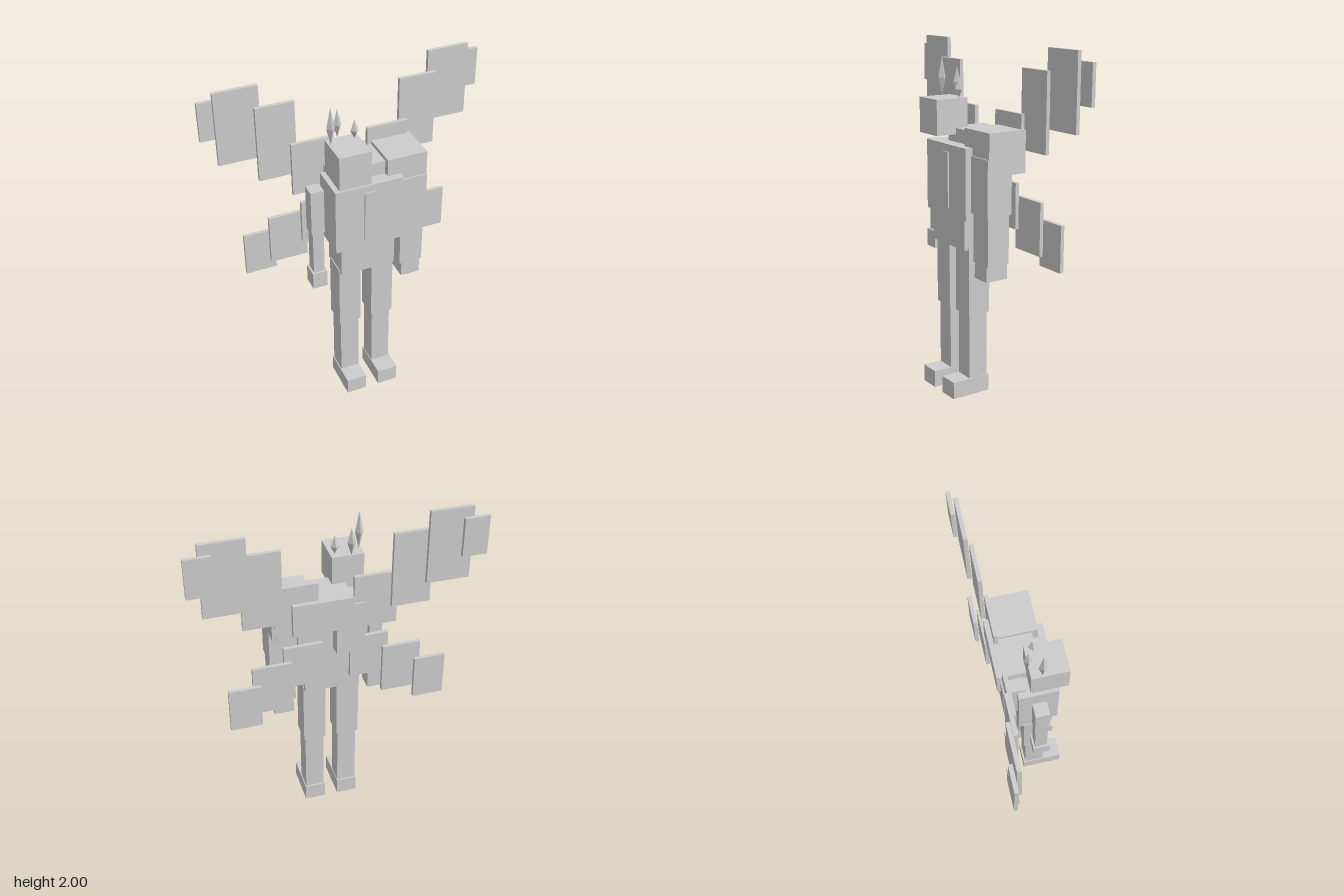
import * as THREE from 'three';

const grey = new THREE.MeshStandardMaterial({ name: 'light grey', color: 0xcccccc, flatShading: true });

// Box given by its limits on each axis
function block(parent, name, [x0, x1], [y0, y1], [z0, z1]) {
  const mesh = new THREE.Mesh(new THREE.BoxGeometry(x1 - x0, y1 - y0, z1 - z0), grey);
  mesh.position.set((x0 + x1) / 2, (y0 + y1) / 2, (z0 + z1) / 2);
  mesh.name = name;
  parent.add(mesh);
}

// The same box on the left and right side
function pair(parent, name, [x0, x1], y, z) {
  block(parent, name + 'Left', [x0, x1], y, z);
  block(parent, name + 'Right', [-x1, -x0], y, z);
}

// Four-sided crystal spike
function spike(parent, name, x, z, base, mid, tip) {
  const profile = [[0, base], [0.024, mid], [0, tip]].map(([r, y]) => new THREE.Vector2(r, y));
  const mesh = new THREE.Mesh(new THREE.LatheGeometry(profile, 4), grey);
  mesh.position.set(x, 0, z);
  mesh.name = name;
  parent.add(mesh);
}

export function createModel() {
  const model = new THREE.Group();
  model.name = 'wingedFigure';

  // Legs
  pair(model, 'foot', [0.04, 0.163], [0, 0.1], [-0.024, 0.217]);
  pair(model, 'shin', [0.044, 0.157], [0.1, 0.488], [-0.013, 0.104]);
  pair(model, 'thigh', [0.034, 0.167], [0.488, 0.89], [-0.024, 0.115]);

  // Body
  block(model, 'hips', [-0.162, 0.162], [0.873, 1.055], [-0.05, 0.14]);
  block(model, 'chest', [-0.2, 0.2], [1.055, 1.456], [-0.062, 0.158]);
  block(model, 'chestStripe', [-0.03, 0.03], [1.097, 1.414], [0.157, 0.166]);
  block(model, 'upperBack', [-0.09, 0.25], [1.34, 1.535], [-0.155, 0.082]);
  block(model, 'backPack', [-0.163, 0], [1.167, 1.48], [-0.136, -0.017]);

  // Head with crown of spikes
  block(model, 'head', [-0.195, -0.013], [1.5, 1.7], [0.004, 0.207]);
  spike(model, 'tallSpike', -0.183, 0.066, 1.7, 1.8, 1.926);
  spike(model, 'middleSpike', -0.122, 0.004, 1.7, 1.777, 1.867);
  spike(model, 'shortSpike', -0.041, 0.045, 1.7, 1.745, 1.81);

  // Heavy left arm
  block(model, 'leftShoulder', [0.124, 0.36], [1.32, 1.557], [-0.124, 0.115]);
  block(model, 'leftUpperArm', [0.2, 0.36], [1.097, 1.414], [-0.034, 0.124]);
  block(model, 'leftForearm', [0.212, 0.352], [0.82, 1.097], [-0.024, 0.115]);
  block(model, 'leftHand', [0.225, 0.34], [0.73, 0.82], [-0.022, 0.115]);

  // Slim right arm
  block(model, 'rightUpperArm', [-0.312, -0.235], [1.16, 1.438], [0.003, 0.082]);
  block(model, 'rightForearm', [-0.305, -0.24], [0.894, 1.16], [0.008, 0.078]);
  block(model, 'rightHand', [-0.317, -0.23], [0.79, 0.894], [-0.003, 0.093]);

  // Wings: overlapping plates, each one further back: [x limits, y limits]
  const upper = [
    [[0.1, 0.343], [1.32, 1.64]],
    [[0.303, 0.521], [1.44, 1.883]],
    [[0.485, 0.728], [1.573, 2]],
    [[0.667, 0.807], [1.72, 1.945]],
  ];
  const lower = [
    [[0.08, 0.3], [0.992, 1.255]],
    [[0.262, 0.484], [0.873, 1.175]],
    [[0.446, 0.627], [0.81, 1.074]],
  ];
  for (const [name, plates] of [['upperWing', upper], ['lowerWing', lower]]) {
    const wings = new THREE.Group();
    wings.name = name + 's';
    plates.forEach(([x, y], i) => {
      const z = -0.116 - 0.03 * i;
      pair(wings, name + 'Plate' + (i + 1), x, y, [z - 0.011, z + 0.011]);
    });
    model.add(wings);
  }
  return model;
}
